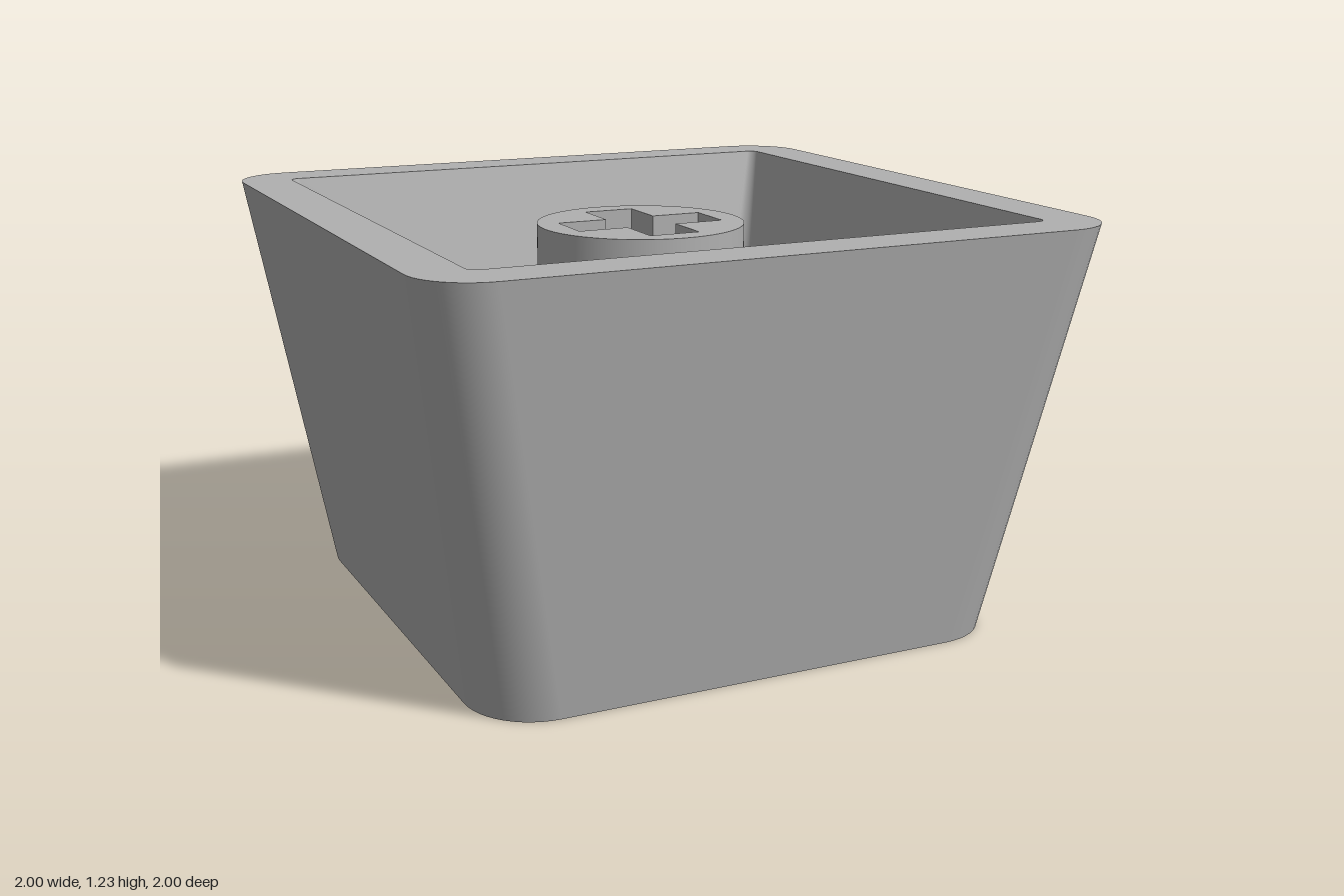
import * as THREE from 'three';
import { toCreasedNormals } from 'three/addons/utils/BufferGeometryUtils.js';

const HEIGHT = 1.225, FLOOR = 0.17, STEM_TOP = 1.155;
const STEPS = 12; // segments per rounded corner

// Rounded square outline at height y; front moves the front edge along z
function ring(half, radius, y, front = 0) {
  const points = [];
  for (let corner = 0; corner < 4; corner++) {
    const mid = (corner + 0.5) * Math.PI / 2;
    const cx = Math.sign(Math.cos(mid)) * (half - radius);
    const cz = Math.sign(Math.sin(mid)) * (half - radius);
    for (let i = 0; i <= STEPS; i++) {
      const a = (corner + i / STEPS) * Math.PI / 2;
      points.push([cx + radius * Math.cos(a), y, cz + radius * Math.sin(a) + (cz > 0 ? front : 0)]);
    }
  }
  return points;
}

// Surface between two outlines
function loft(a, b) {
  const n = a.length, index = [];
  for (let i = 0; i < n; i++) {
    const j = (i + 1) % n;
    index.push(i, n + i, n + j, i, n + j, j);
  }
  const geometry = new THREE.BufferGeometry();
  geometry.setAttribute('position', new THREE.Float32BufferAttribute([...a, ...b].flat(), 3));
  geometry.setIndex(index);
  geometry.computeVertexNormals();
  return geometry;
}

export function createModel() {
  const group = new THREE.Group();
  group.name = 'keycap';
  const plastic = new THREE.MeshStandardMaterial({ color: 0xb0b0b0 });
  plastic.name = 'grey plastic';

  const add = (name, geometry) => {
    const mesh = new THREE.Mesh(geometry, plastic);
    mesh.name = name;
    group.add(mesh);
    return mesh;
  };

  // Tapered hollow shell
  const outerBottom = ring(0.805, 0.2, 0);
  const outerTop = ring(1, 0.175, HEIGHT);
  const innerTop = ring(0.845, 0.03, HEIGHT);
  const innerBottom = ring(0.65, 0.08, FLOOR, 0.018);
  add('outerWall', loft(outerBottom, outerTop));
  add('rim', loft(outerTop, innerTop));
  add('innerWall', loft(innerTop, innerBottom));
  add('floor', loft(innerBottom, ring(0, 0, FLOOR)));
  add('base', loft(ring(0, 0, 0), outerBottom));

  // Round stem with a cross-shaped socket
  const stem = new THREE.Shape().absarc(0, 0, 0.31, 0, Math.PI * 2, false);
  const L = 0.233, W = 0.078;
  const cross = [];
  for (let k = 0; k < 4; k++) {
    for (const [x, y] of [[L, -W], [L, W], [W, W]]) {
      cross.push(new THREE.Vector2(x, y).rotateAround(new THREE.Vector2(), k * Math.PI / 2));
    }
  }
  stem.holes.push(new THREE.Path(cross));
  const stemGeometry = new THREE.ExtrudeGeometry(stem, {
    depth: STEM_TOP - FLOOR, bevelEnabled: false, curveSegments: 64,
  });
  stemGeometry.rotateX(-Math.PI / 2).translate(0, FLOOR, 0);
  add('stem', toCreasedNormals(stemGeometry, 0.5));

  return group;
}
